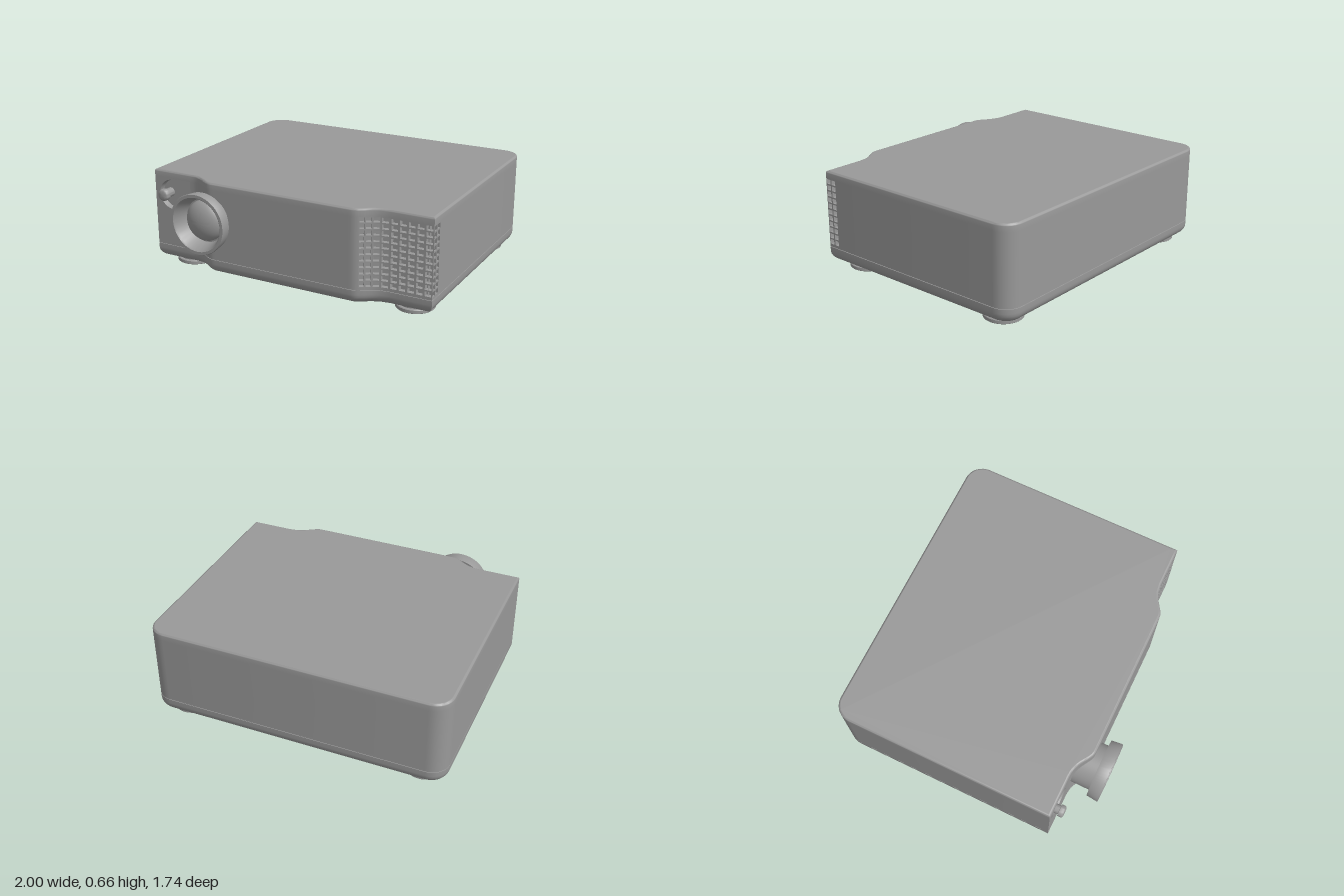
import * as THREE from 'three';
import { toCreasedNormals } from 'three/addons/utils/BufferGeometryUtils.js';

const gray = new THREE.MeshStandardMaterial({ color: 0x999999 });
const grayDouble = new THREE.MeshStandardMaterial({ color: 0x999999, side: THREE.DoubleSide });
const V2 = (x, y) => new THREE.Vector2(x, y);

function mesh(name, geometry, material = gray) {
  const m = new THREE.Mesh(geometry, material);
  m.name = name;
  return m;
}

// geometry from a list of [a, b, c, d] quads, counter-clockwise from outside
function quadGeometry(quads, crease = 0.8) {
  const pos = [];
  for (const [a, b, c, d] of quads) for (const p of [a, b, c, a, c, d]) pos.push(...p);
  const g = new THREE.BufferGeometry();
  g.setAttribute('position', new THREE.Float32BufferAttribute(pos, 3));
  return toCreasedNormals(g, crease);
}

// lathe with creased edges, its axis turned to point forward
function turned(profile, segments = 48) {
  const g = new THREE.LatheGeometry(profile.map(([r, h]) => V2(r, h)), segments);
  return toCreasedNormals(g, 0.7).rotateX(Math.PI / 2);
}

// plan of the case as (x, z): front left to front right, then round the back
const FRONT = 0.655, BULGE = 0.739, BACK = -0.87, R = 0.12;
const BOTTOM = 0.042, TOP = 0.66, EDGE = 0.014, BASE_ROUND = 0.065;
const BAND_LOW = 0.155, BAND_HIGH = 0.61;
const shoulder = new THREE.CubicBezierCurve(V2(0.5, BULGE), V2(0.57, BULGE), V2(0.6, FRONT), V2(0.72, FRONT));
const plan = [V2(-1, FRONT)];
for (let i = 12; i >= 0; i--) {
  const p = shoulder.getPoint(i / 12);
  plan.push(V2(-p.x, p.y));
}
plan.push(V2(-0.48, BULGE), V2(0.48, BULGE));
for (let i = 0; i < 3; i++) plan.push(shoulder.getPoint(i / 12));
const grilleStart = plan.length;
for (let i = 0; i <= 4; i++) plan.push(shoulder.getPoint(0.25 + 0.75 * i / 4));
for (let i = 1; i <= 5; i++) plan.push(V2(0.72 + 0.28 * i / 5, FRONT));
plan.push(V2(1, FRONT - 0.045), V2(1, FRONT - 0.09));
const grilleEnd = plan.length - 1;
for (const side of [0, 1]) {
  for (let i = 0; i <= 8; i++) {
    const a = -(side + i / 8) * Math.PI / 2;
    plan.push(V2((side ? -1 : 1) * (1 - R) + R * Math.cos(a), BACK + R + R * Math.sin(a)));
  }
}

const edgeNormal = (a, b) => V2(a.y - b.y, b.x - a.x).normalize();

// plan moved inwards with mitred corners
function insetPlan(d) {
  const n = plan.length;
  return plan.map((p, i) => {
    const n1 = edgeNormal(plan[(i + n - 1) % n], p);
    const n2 = edgeNormal(p, plan[(i + 1) % n]);
    return p.clone().add(n1.clone().add(n2).multiplyScalar(-d / (1 + n1.dot(n2))));
  });
}

function createCase() {
  const group = new THREE.Group();
  group.name = 'case';
  // levels are [height, inset]: rounded base, seam groove, wall, rounded top edge
  const levels = [];
  for (let i = 0; i <= 6; i++) {
    const a = i / 6 * Math.PI / 2;
    levels.push([BOTTOM + BASE_ROUND * (1 - Math.cos(a)), BASE_ROUND * (1 - Math.sin(a))]);
  }
  levels.push([0.137, 0], [0.1375, 0.005], [0.1405, 0.005], [0.141, 0], [BAND_LOW, 0], [BAND_HIGH, 0]);
  for (let i = 0; i <= 4; i++) {
    const a = i / 4 * Math.PI / 2;
    levels.push([TOP - EDGE * (1 - Math.sin(a)), EDGE * (1 - Math.cos(a))]);
  }
  const rings = levels.map(([y, d]) => insetPlan(d).map(p => [p.x, y, p.y]));
  const quads = [];
  for (let j = 0; j < rings.length - 1; j++) {
    for (let i = 0; i < plan.length; i++) {
      // leave the openings for the control panel and the grille
      const opening = i === 0 || (i >= grilleStart && i < grilleEnd);
      if (levels[j][0] === BAND_LOW && opening) continue;
      const k = (i + 1) % plan.length;
      quads.push([rings[j][i], rings[j][k], rings[j + 1][k], rings[j + 1][i]]);
    }
  }
  group.add(mesh('caseWalls', quadGeometry(quads)));

  const top = new THREE.ShapeGeometry(new THREE.Shape(insetPlan(EDGE).map(p => V2(p.x, -p.y))));
  group.add(mesh('caseTop', top.rotateX(-Math.PI / 2).translate(0, TOP, 0)));
  const base = new THREE.ShapeGeometry(new THREE.Shape(insetPlan(BASE_ROUND)));
  group.add(mesh('caseBottom', base.rotateX(Math.PI / 2).translate(0, BOTTOM, 0)));
  return group;
}

// wrapped grille of recessed rectangular cells
function createGrille() {
  const quads = [], rows = 11, margin = 0.12, depth = 0.03;
  const h = (BAND_HIGH - BAND_LOW) / rows;
  for (let i = grilleStart; i < grilleEnd; i++) {
    const a = plan[i], b = plan[i + 1], n = edgeNormal(a, b);
    for (let r = 0; r < rows; r++) {
      const at = (u, v, d) => {
        const p = a.clone().lerp(b, u).addScaledVector(n, -d);
        return [p.x, BAND_LOW + (r + v) * h, p.y];
      };
      const ring = (m, d) => [at(m, m, d), at(1 - m, m, d), at(1 - m, 1 - m, d), at(m, 1 - m, d)];
      const outer = ring(0, 0), rim = ring(margin, 0), floor = ring(margin, depth);
      for (let k = 0; k < 4; k++) {
        const l = (k + 1) % 4;
        quads.push([outer[k], outer[l], rim[l], rim[k]], [rim[k], rim[l], floor[l], floor[k]]);
      }
      quads.push(floor);
    }
  }
  return mesh('ventGrille', quadGeometry(quads, 0.3));
}

// flat panel with a round recess and a small knob
function createControlPanel() {
  const group = new THREE.Group();
  group.name = 'controlPanel';
  const shape = new THREE.Shape([V2(-1, BAND_LOW), V2(-0.72, BAND_LOW), V2(-0.72, BAND_HIGH), V2(-1, BAND_HIGH)]);
  const hole = new THREE.Path();
  hole.absarc(-0.863, 0.5, 0.102, 0, Math.PI * 2, true);
  shape.holes.push(hole);
  group.add(mesh('panelFace', new THREE.ShapeGeometry(shape, 24).translate(0, 0, FRONT)));
  const recess = mesh('panelRecess', turned([[0.102, 0], [0.096, -0.035], [0, -0.035]]), grayDouble);
  recess.position.set(-0.863, 0.5, FRONT);
  const knob = mesh('knob', turned([
    [0.03, -0.035], [0.03, 0.025], [0.04, 0.027], [0.04, 0.05], [0.036, 0.057], [0.026, 0.061], [0, 0.063],
  ], 32));
  knob.position.set(-0.903, 0.505, FRONT);
  group.add(recess, knob);
  return group;
}

function createLens() {
  const group = new THREE.Group();
  group.name = 'lens';
  group.position.set(-0.527, 0.414, 0);
  group.add(mesh('lensBarrel', turned([
    [0.155, 0.6], [0.155, 0.79], [0.194, 0.79], [0.202, 0.862], [0.199, 0.868],
    [0.18, 0.868], [0.172, 0.86], [0.145, 0.765], [0, 0.765],
  ], 64), grayDouble));
  // domed glass
  const dome = [];
  for (let i = 0; i <= 10; i++) {
    const a = i / 10 * Math.PI / 2;
    dome.push([0.136 * Math.cos(a), 0.765 + 0.075 * Math.sin(a)]);
  }
  group.add(mesh('lensGlass', turned(dome)));
  return group;
}

function createFoot(x, z) {
  const profile = [[0, 0], [0.12, 0], [0.125, 0.004], [0.125, 0.024], [0.121, 0.028], [0.106, 0.028], [0.106, 0.06]];
  const g = new THREE.LatheGeometry(profile.map(([r, y]) => V2(r, y)), 40);
  const foot = mesh('foot', toCreasedNormals(g, 0.5));
  foot.position.set(x, 0, z);
  return foot;
}

export function createModel() {
  const model = new THREE.Group();
  model.name = 'projector';
  model.add(createCase(), createGrille(), createControlPanel(), createLens());
  for (const x of [-0.82, 0.82]) for (const z of [0.485, -0.68]) model.add(createFoot(x, z));
  return model;
}
